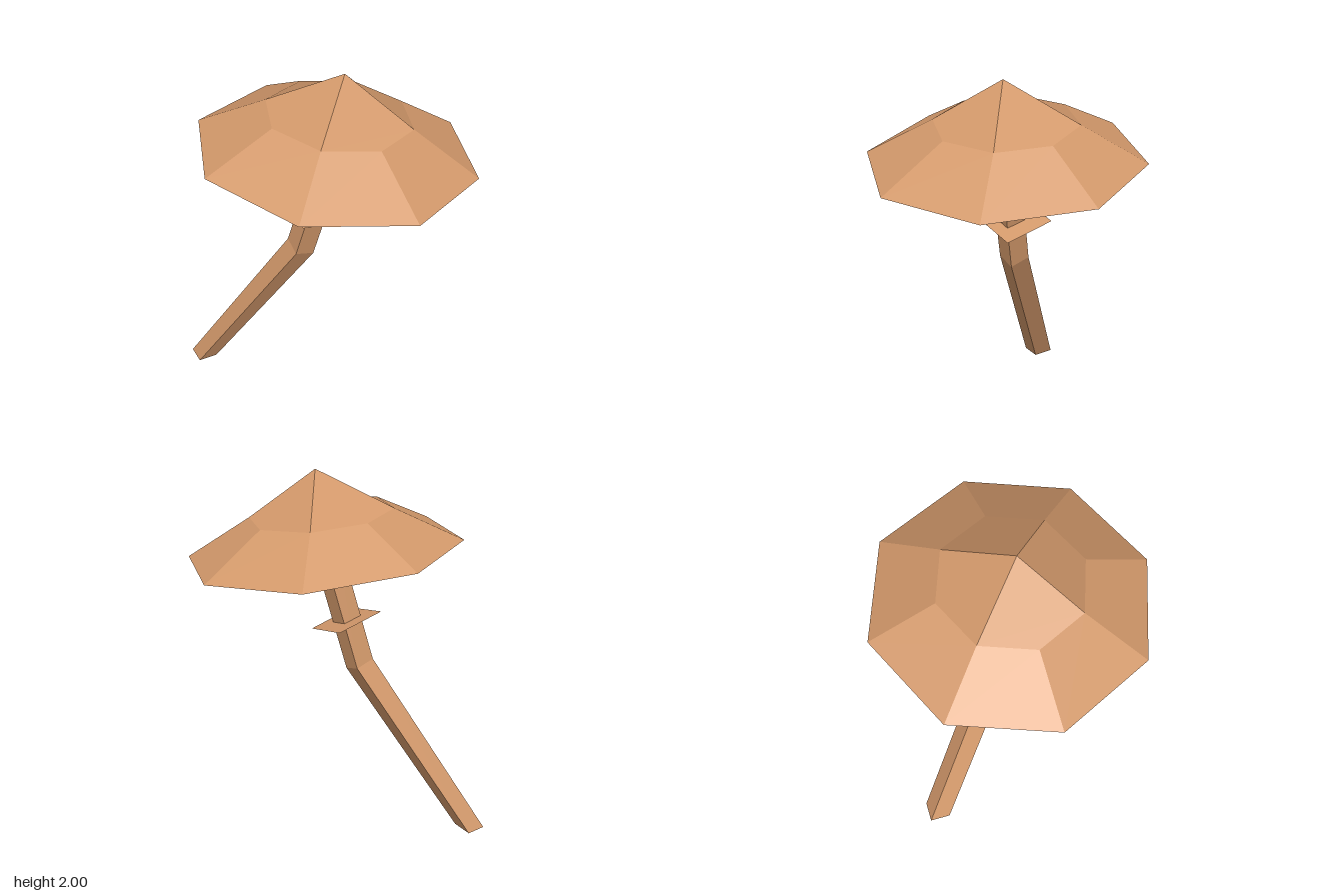
import * as THREE from 'three';

// Flat-shaded geometry from four-cornered faces, one normal per face
function fromQuads(quads) {
  const pos = [], nor = [];
  for (const [a, b, c, d] of quads) {
    const n = c.clone().sub(a).cross(d.clone().sub(b)).normalize();
    for (const p of [a, b, c, a, c, d]) {
      pos.push(p.x, p.y, p.z);
      nor.push(n.x, n.y, n.z);
    }
  }
  const g = new THREE.BufferGeometry();
  g.setAttribute('position', new THREE.Float32BufferAttribute(pos, 3));
  g.setAttribute('normal', new THREE.Float32BufferAttribute(nor, 3));
  return g;
}

const V = (x, y, z) => new THREE.Vector3(x, y, z);

// Tilted octagon used for the rings of the cap
function octagon(radius, cx, cy, cz) {
  return Array.from({ length: 8 }, (_, k) => {
    const t = -0.309 + k * Math.PI / 4;
    const dx = radius * Math.cos(t), dz = radius * Math.sin(t);
    return V(cx + dx, cy - 0.094 * dx + 0.025 * dz, cz + dz);
  });
}

export function createModel() {
  const model = new THREE.Group();
  const tan = new THREE.MeshStandardMaterial({ color: 0xd3996b, side: THREE.DoubleSide });
  tan.name = 'tan';
  const add = (name, quads) => {
    const mesh = new THREE.Mesh(fromQuads(quads), tan);
    mesh.name = name;
    model.add(mesh);
  };

  // Cap: open eight-sided skirt under a four-faced peak
  const apex = V(0.14, 2, -0.01);
  const ring = octagon(0.376, 0.11, 1.776, -0.01);
  const rim = octagon(0.724, 0.1, 1.585, 0);
  const skirt = [], peak = [];
  for (let k = 0; k < 8; k++) {
    const n = (k + 1) % 8;
    skirt.push([ring[k], ring[n], rim[n], rim[k]]);
    if (k % 2 === 0) peak.push([ring[(k + 2) % 8], ring[n], ring[k], apex]);
  }
  add('capSkirt', skirt);
  add('capPeak', peak);

  // Stem: square section, leaning and bent at the knee
  const base = [V(-0.795, 0, 0.195), V(-0.695, 0, 0.255), V(-0.64, 0, 0.16), V(-0.74, 0, 0.1)];
  const knee = [V(-0.16, 0.98, 0.06), V(-0.07, 0.945, 0.12), V(-0.02, 0.915, 0.025), V(-0.11, 0.95, -0.035)];
  const rise = V(0.225, 0.8, -0.04);
  const top = knee.map(p => p.clone().add(rise));
  const stem = [[...base].reverse(), top];
  for (const [lo, hi] of [[base, knee], [knee, top]]) {
    for (let i = 0; i < 4; i++) {
      const j = (i + 1) % 4;
      stem.push([lo[i], lo[j], hi[j], hi[i]]);
    }
  }
  add('stem', stem);

  // Collar: thin tilted square sheet around the stem
  add('collar', [[V(-0.205, 1.26, 0.06), V(0.03, 1.195, 0.205), V(0.155, 1.14, -0.04), V(-0.075, 1.205, -0.185)]]);

  return model;
}
